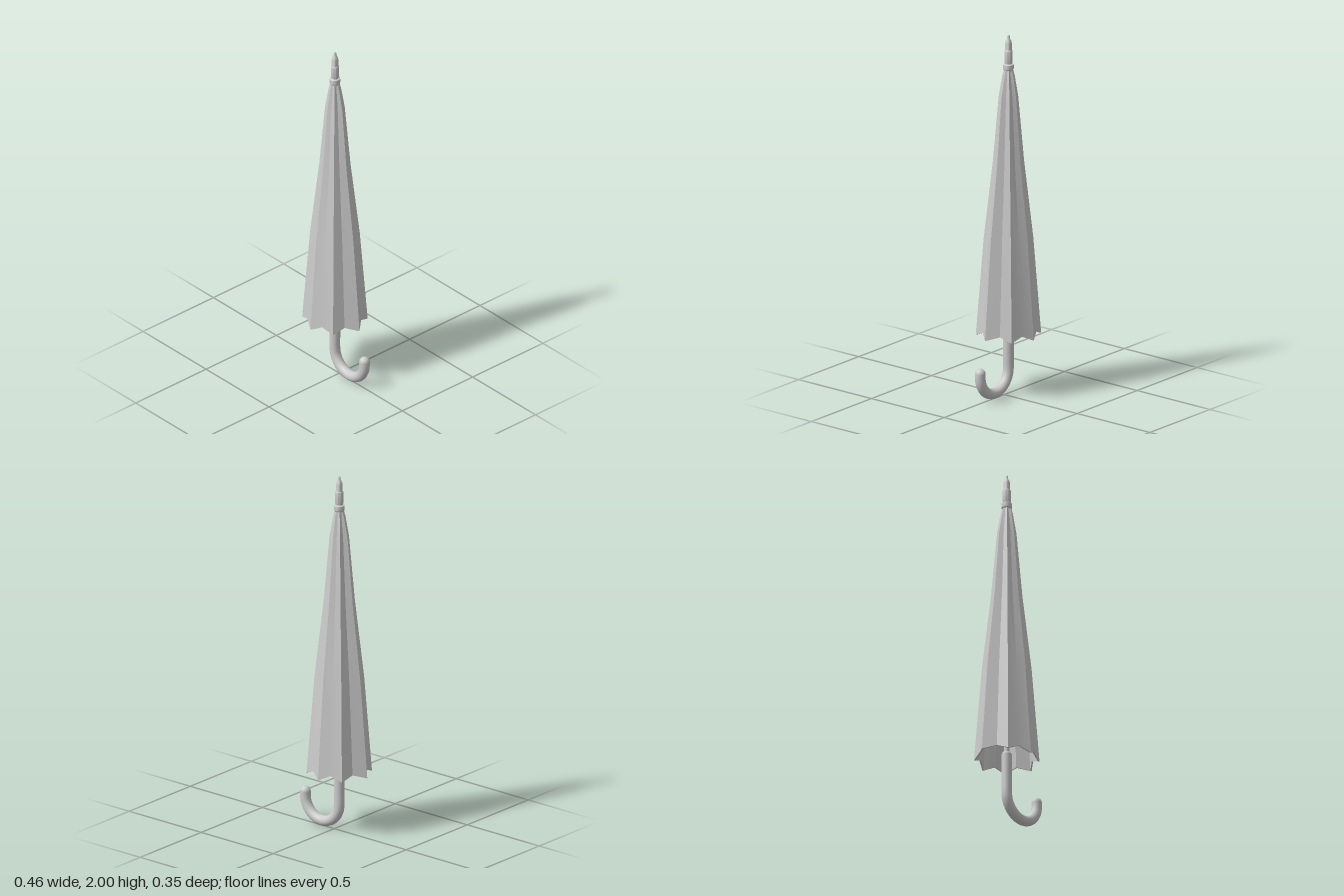
import * as THREE from 'three';
import { toCreasedNormals } from 'three/addons/utils/BufferGeometryUtils.js';

const AXIS = -0.035; // x of the shaft
const RIBS = 8;

const grey = new THREE.MeshStandardMaterial({ color: 0xcccccc });
const clothGrey = new THREE.MeshStandardMaterial({ color: 0xcccccc, side: THREE.DoubleSide });

function add(group, name, geometry, material = grey) {
  const mesh = new THREE.Mesh(geometry, material);
  mesh.name = name;
  group.add(mesh);
  return mesh;
}

function lathe(points, segments = 24) {
  const g = new THREE.LatheGeometry(points.map(([r, y]) => new THREE.Vector2(r, y)), segments);
  return toCreasedNormals(g, 0.6);
}

// Folded cloth: pleated rings run down the outside, round the hem and up the inside
function canopyGeometry() {
  // [rib radius, valley radius, height]
  const outer = [
    [0.024, 0.021, 1.81], [0.033, 0.026, 1.775], [0.052, 0.045, 1.66],
    [0.083, 0.073, 1.3], [0.132, 0.117, 0.87], [0.174, 0.154, 0.34],
  ];
  const inner = outer.map(([a, b, y]) => [a - 0.008, b - 0.008, y]).reverse();
  const rings = [...outer, ...inner];
  const n = RIBS * 2;
  const pos = [], index = [];
  for (const [ribR, valleyR, y] of rings) {
    for (let i = 0; i < n; i++) {
      const a = (i / n) * Math.PI * 2;
      const rib = i % 2 === 0;
      // the two side ribs splay further out than the rest
      const splay = i % RIBS === 0 && y < 1.7 ? 1.12 : 1;
      const r = (rib ? ribR : valleyR) * splay;
      const hem = y < 0.5 ? (rib ? -0.01 * Math.abs(Math.sin(a)) : 0.02) : 0;
      pos.push(r * Math.cos(a), y + hem, r * Math.sin(a));
    }
  }
  for (let k = 0; k < rings.length - 1; k++) {
    for (let i = 0; i < n; i++) {
      const j = (i + 1) % n;
      const a = k * n + i, b = k * n + j, c = a + n, d = b + n;
      index.push(a, b, c, b, d, c);
    }
  }
  const g = new THREE.BufferGeometry();
  g.setAttribute('position', new THREE.Float32BufferAttribute(pos, 3));
  g.setIndex(index);
  return toCreasedNormals(g, 0.2);
}

// Hooked grip: straight down, then a half circle up to the rounded end
function gripPath() {
  const R = 0.1175, cy = 0.147, cx = R;
  const points = [];
  for (const y of [0.37, 0.3, 0.22]) points.push(new THREE.Vector3(0, y, 0));
  for (let i = 0; i <= 12; i++) {
    const a = Math.PI + (i / 12) * Math.PI;
    points.push(new THREE.Vector3(cx + R * Math.cos(a), cy + R * Math.sin(a), 0));
  }
  points.push(new THREE.Vector3(2 * R, 0.168, 0));
  return new THREE.CatmullRomCurve3(points);
}

export function createModel() {
  const root = new THREE.Group();
  root.name = 'umbrella';
  const body = new THREE.Group();
  body.name = 'umbrellaBody';
  body.position.x = AXIS;
  root.add(body);

  add(body, 'canopy', canopyGeometry(), clothGrey);

  // Central rod inside the cloth
  const shaft = add(body, 'shaft', new THREE.CylinderGeometry(0.014, 0.014, 1.48, 16));
  shaft.position.y = 1.08;

  // Collar gathering the cloth
  add(body, 'collar', lathe([
    [0, 1.795], [0.022, 1.795], [0.024, 1.806], [0.028, 1.81], [0.029, 1.822],
    [0.028, 1.836], [0.02, 1.841], [0, 1.841],
  ]));

  // Stepped metal tip
  add(body, 'ferrule', lathe([
    [0.019, 1.838], [0.022, 1.85], [0.022, 1.912], [0.018, 1.918], [0.018, 1.955],
    [0.015, 1.968], [0.008, 1.98], [0.007, 1.996], [0.004, 2], [0, 2],
  ]));

  // Curved grip with a domed end and a chamfered top
  const r = 0.0285;
  add(body, 'handle', new THREE.TubeGeometry(gripPath(), 64, r, 20, false));
  const end = add(body, 'handleEnd', new THREE.SphereGeometry(r, 20, 8, 0, Math.PI * 2, 0, Math.PI / 2));
  end.position.set(0.235, 0.168, 0);
  add(body, 'handleTop', lathe([[r, 0.37], [0.022, 0.382], [0.014, 0.384]]));

  return root;
}
